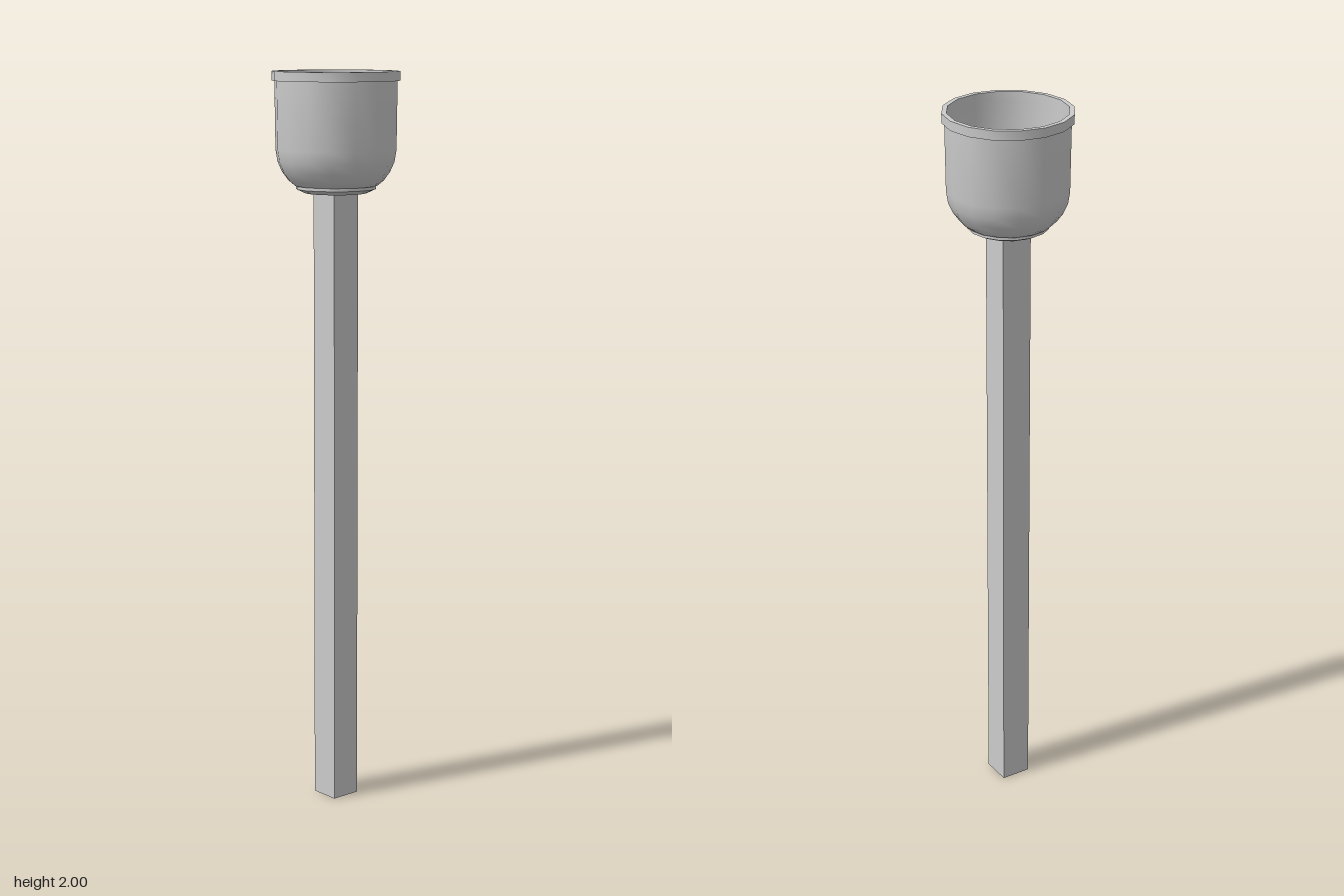
import * as THREE from 'three';
import { toCreasedNormals } from 'three/addons/utils/BufferGeometryUtils.js';

const POST_HALF = 0.042;
const POST_TOP = 1.686;

export function createModel() {
  const group = new THREE.Group();
  const material = new THREE.MeshStandardMaterial({ color: 0xcccccc, side: THREE.DoubleSide });

  // Square hollow post, open at the foot
  const postGeometry = new THREE.CylinderGeometry(
    POST_HALF * Math.SQRT2, POST_HALF * Math.SQRT2, POST_TOP, 4, 1, true);
  postGeometry.rotateY(Math.PI / 4);
  postGeometry.translate(0, POST_TOP / 2, 0);
  const post = new THREE.Mesh(toCreasedNormals(postGeometry, 0.5), material);
  post.name = 'post';
  group.add(post);

  // Cup: outer wall from the base up, over the rim, then inner wall down to the floor
  const profile = [
    // base disc and stepped foot
    [0, 1.68], [0.083, 1.68], [0.107, 1.691], [0.107, 1.699], [0.111, 1.7],
    // rounded belly and wall
    [0.128, 1.714], [0.144, 1.736], [0.156, 1.763], [0.161, 1.795], [0.163, 1.975],
    // rim
    [0.17, 1.975], [0.17, 2], [0.157, 2], [0.157, 1.975],
    // inside
    [0.155, 1.795], [0.15, 1.765], [0.139, 1.739], [0.124, 1.718], [0.109, 1.705],
    [0.106, 1.704], [0.106, 1.696], [0.083, 1.686], [0, 1.686],
  ].map(([r, y]) => new THREE.Vector2(r, y));
  const cup = new THREE.Mesh(
    toCreasedNormals(new THREE.LatheGeometry(profile, 16), 0.55), material);
  cup.name = 'cup';
  group.add(cup);

  return group;
}
